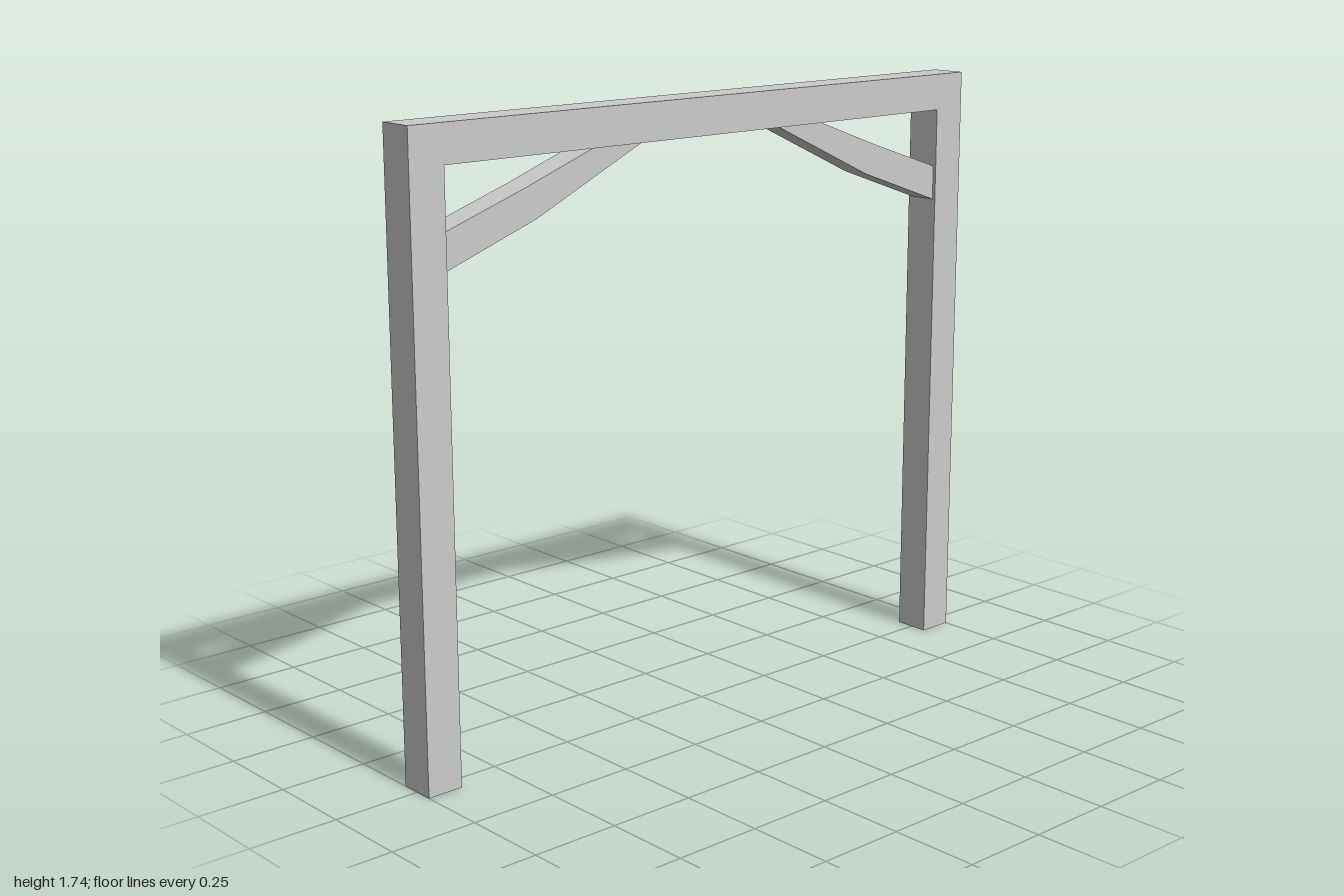
import * as THREE from 'three';

const material = new THREE.MeshStandardMaterial({ color: 0xcccccc, flatShading: true });

// Extrudes an outline in the xy plane to a depth centred on z = 0
function slab(name, points, depth) {
  const shape = new THREE.Shape(points.map(([x, y]) => new THREE.Vector2(x, y)));
  const geometry = new THREE.ExtrudeGeometry(shape, { depth, bevelEnabled: false });
  geometry.translate(0, 0, -depth / 2);
  const mesh = new THREE.Mesh(geometry, material);
  mesh.name = name;
  return mesh;
}

export function createModel() {
  const group = new THREE.Group();
  group.name = 'timberFrame';

  const height = 1.74;
  const beam = 0.105;
  const inner = 1 - beam;
  const under = height - beam;

  // Two posts and the top beam as one continuous portal
  group.add(slab('postsAndBeam', [
    [-1, 0], [-inner, 0], [-inner, under], [inner, under],
    [inner, 0], [1, 0], [1, height], [-1, height],
  ], beam));

  // Bent braces in both corners, slightly thinner than the posts
  const brace = [
    [inner, 1.367], [inner, 1.467], [0.64, 1.553],
    [0.415, under], [0.25, under], [0.605, 1.47],
  ];
  for (const [side, name] of [[1, 'leftBrace'], [-1, 'rightBrace']]) {
    group.add(slab(name, brace.map(([x, y]) => [side * x, y]), 0.085));
  }

  return group;
}
